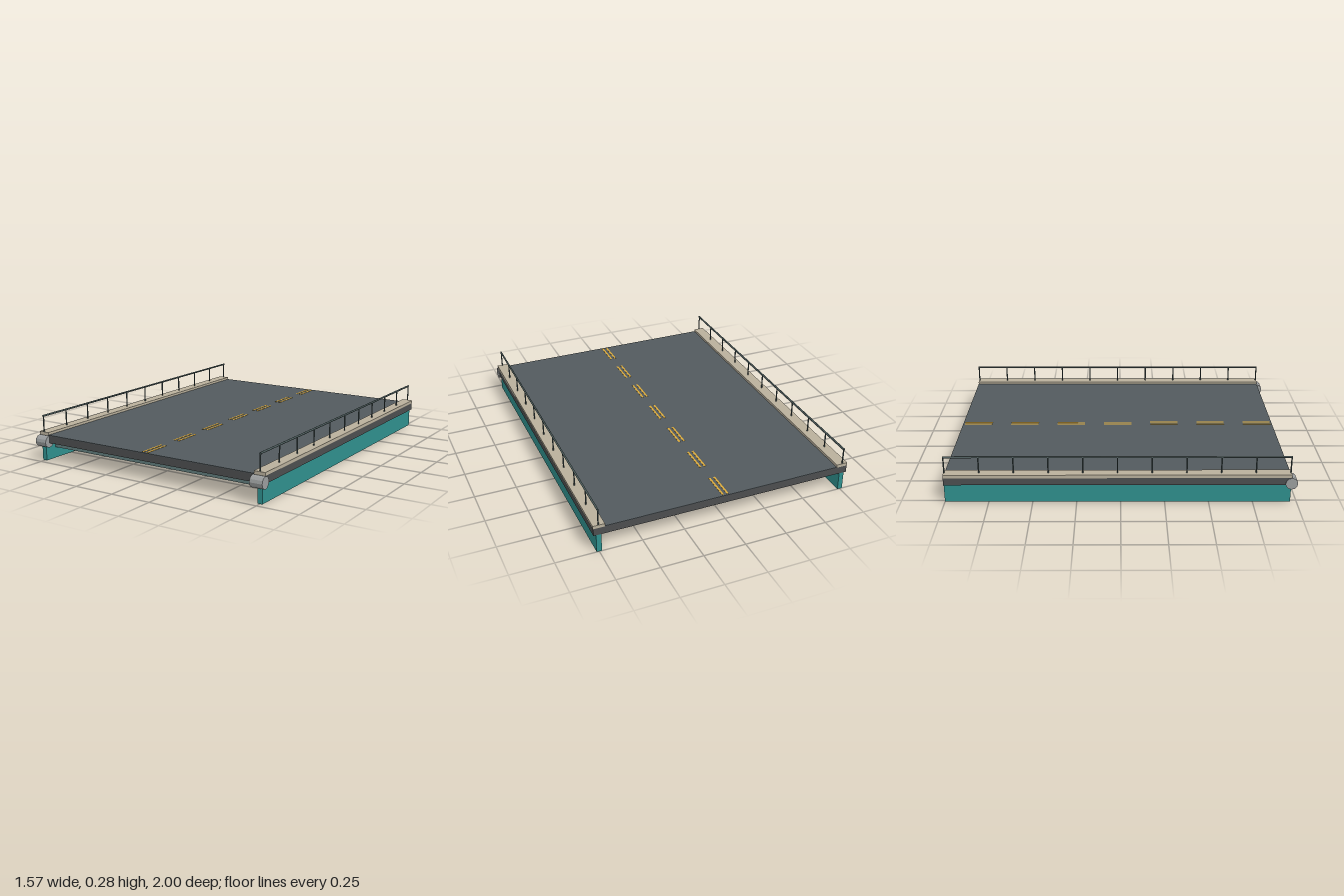
import * as THREE from 'three';

const paint = (color, flatShading = false) => new THREE.MeshStandardMaterial({ color, flatShading });
const mats = {
  deck: paint(0x4c4e4f),
  asphalt: paint(0x525a5e),
  girder: paint(0x2f8f8d),
  beam: paint(0x5f7b7a),
  curb: paint(0xb9b09c),
  rail: paint(0x4a5a5a),
  hinge: paint(0x9a9d9e, true),
  line: paint(0xd9a93c),
};

const BACK = -1, FRONT = 0.965;
const LENGTH = FRONT - BACK, MID = (FRONT + BACK) / 2;

function add(group, name, geometry, material, x, y, z) {
  const mesh = new THREE.Mesh(geometry, material);
  mesh.name = name;
  mesh.position.set(x, y, z);
  group.add(mesh);
  return mesh;
}

// Box given by its x centre, y range, z centre, width and depth
function box(group, name, material, x, y0, y1, z, w, d) {
  return add(group, name, new THREE.BoxGeometry(w, y1 - y0, d), material, x, (y0 + y1) / 2, z);
}

export function createModel() {
  const model = new THREE.Group();
  model.name = 'bridgeLeaf';

  // Road slab with its asphalt surface
  box(model, 'deck', mats.deck, 0, 0.112, 0.156, MID, 1.56, LENGTH);
  box(model, 'asphalt', mats.asphalt, 0, 0.156, 0.16, MID, 1.43, LENGTH);

  // Seven bays: a cross beam below and a pair of lane dashes above
  for (let i = 0; i < 7; i++) {
    const z = -0.902 + i * 0.295;
    box(model, 'crossBeam', mats.beam, 0, 0.066, 0.112, z, 1.47, 0.04);
    for (const s of [-1, 1]) {
      box(model, 'laneDash', mats.line, s * 0.0145, 0.159, 0.1615, z, 0.012, 0.174);
    }
  }

  for (const s of [-1, 1]) {
    const side = new THREE.Group();
    side.name = s > 0 ? 'leftSide' : 'rightSide';
    model.add(side);

    // Main girder, raised kerb and hinge barrel
    box(side, 'girder', mats.girder, s * 0.75, 0, 0.112, MID, 0.03, LENGTH);
    box(side, 'kerb', mats.curb, s * 0.7475, 0.156, 0.175, MID, 0.069, LENGTH);
    const hinge = add(side, 'hinge', new THREE.CylinderGeometry(0.035, 0.035, 0.078, 12),
      mats.hinge, s * 0.745, 0.12, FRONT);
    hinge.rotation.z = Math.PI / 2;

    // Handrail on eleven posts
    const rail = add(side, 'handrail', new THREE.CylinderGeometry(0.006, 0.006, LENGTH, 8),
      mats.rail, s * 0.75, 0.272, MID);
    rail.rotation.x = Math.PI / 2;
    const post = new THREE.CylinderGeometry(0.004, 0.004, 0.1, 8);
    for (let i = 0; i <= 10; i++) {
      add(side, 'railPost', post, mats.rail, s * 0.75, 0.222, BACK + 0.004 + i * (LENGTH - 0.008) / 10);
    }
  }
  return model;
}
